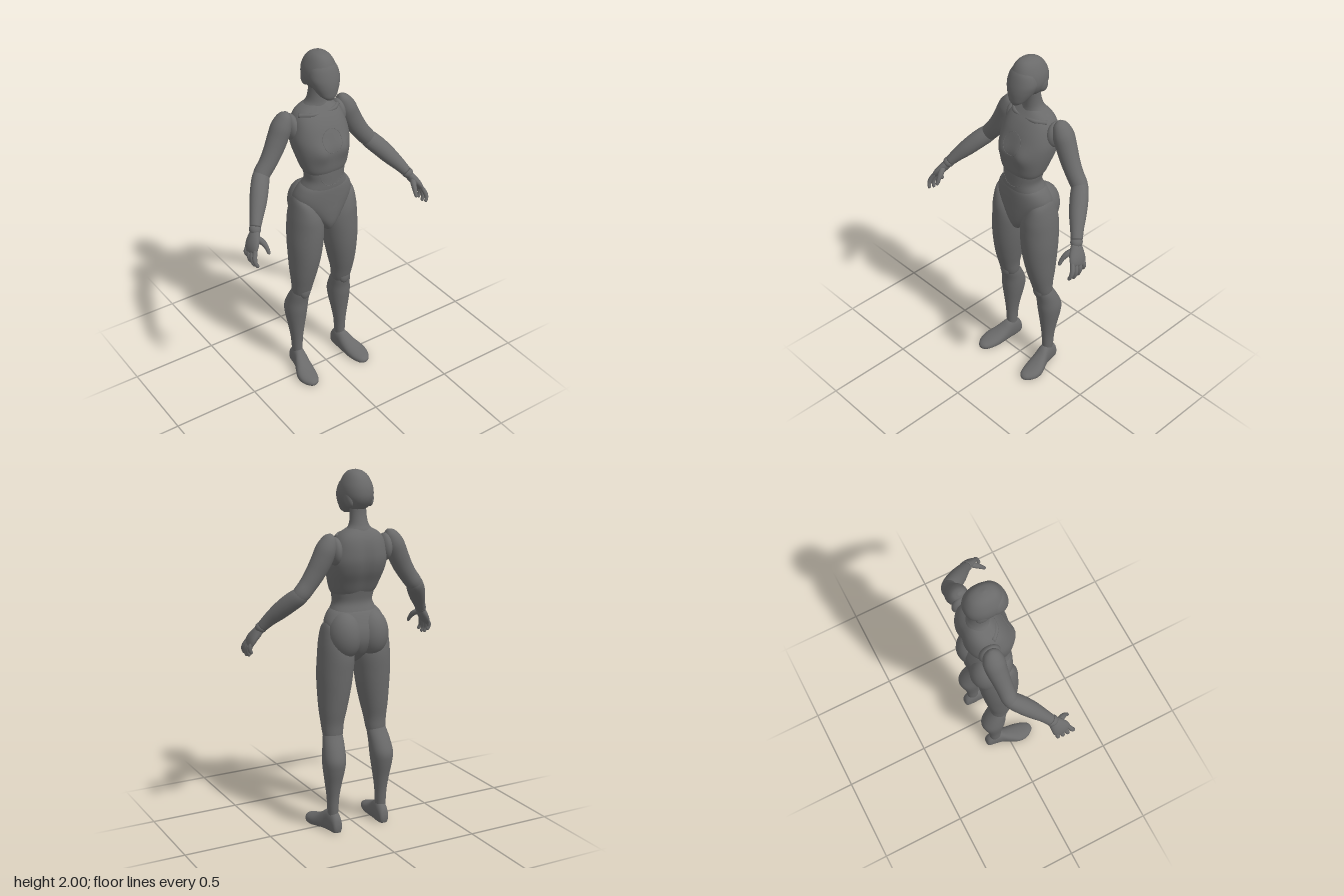
import * as THREE from 'three';

const material = new THREE.MeshStandardMaterial({ color: 0x6a6a6a });
const V = (x, y, z) => new THREE.Vector3(x, y, z);
const SIDES = 48;

// Resample rows of numbers with a smooth curve through them
function smoothRows(rows, steps = 5) {
  const out = [];
  const at = i => rows[Math.min(Math.max(i, 0), rows.length - 1)];
  for (let i = 0; i < rows.length - 1; i++) {
    for (let s = 0; s < steps; s++) {
      const t = s / steps;
      out.push(rows[i].map((b, k) => {
        const a = at(i - 1)[k], c = at(i + 1)[k], d = at(i + 2)[k];
        return b + 0.5 * t * (c - a + t * (2 * a - 5 * b + 4 * c - d + t * (3 * (b - c) + d - a)));
      }));
    }
  }
  out.push(rows[rows.length - 1]);
  return out;
}

// Close a stack of rings into a smooth solid whose faces point outward
function skin(rings) {
  const n = rings[0].length, pts = rings.flat(), idx = [];
  for (let r = 0; r < rings.length - 1; r++) {
    for (let i = 0; i < n; i++) {
      const a = r * n + i, b = r * n + (i + 1) % n;
      idx.push(a, b, a + n, b, b + n, a + n);
    }
  }
  for (const [r, flip] of [[0, true], [rings.length - 1, false]]) {
    const mid = V(0, 0, 0);
    rings[r].forEach(p => mid.addScaledVector(p, 1 / n));
    const c = pts.push(mid) - 1;
    for (let i = 0; i < n; i++) {
      const a = r * n + i, b = r * n + (i + 1) % n;
      idx.push(c, flip ? b : a, flip ? a : b);
    }
  }
  let volume = 0;
  for (let i = 0; i < idx.length; i += 3) {
    volume += pts[idx[i]].dot(V(0, 0, 0).crossVectors(pts[idx[i + 1]], pts[idx[i + 2]]));
  }
  if (volume < 0) idx.reverse();
  const g = new THREE.BufferGeometry().setFromPoints(pts);
  g.setIndex(idx);
  g.computeVertexNormals();
  return g;
}

// Rounded cross-sections, each row: [height, x0, x1, depth0, depth1]
function loft(rows, power = 2.2, place = (x, h, d) => V(x, h, d)) {
  const pw = v => Math.sign(v) * Math.abs(v) ** (2 / power);
  return skin(smoothRows(rows).map(([h, x0, x1, d0, d1]) =>
    Array.from({ length: SIDES }, (_, i) => {
      const a = i / SIDES * Math.PI * 2;
      return place((x0 + x1) / 2 + (x1 - x0) / 2 * pw(Math.cos(a)), h,
        (d0 + d1) / 2 + (d1 - d0) / 2 * pw(Math.sin(a)));
    })));
}
// Symmetric version, each row: [y, halfWidth, zFront, zBack]
const body = (rows, power) => loft(rows.map(([y, w, f, b]) => [y, -w, w, b, f]), power);

// Soft swelling or hollow on the front (side 1) or back (side -1)
function bulge(g, side, x, y, sx, sy, push) {
  const p = g.attributes.position;
  for (let i = 0; i < p.count; i++) {
    const z = p.getZ(i);
    if ((z + 0.06) * side <= 0) continue;
    const dx = (p.getX(i) - x) / sx, dy = (p.getY(i) - y) / sy;
    p.setZ(i, z + side * push * Math.exp(-(dx * dx + dy * dy) / 2));
  }
  g.computeVertexNormals();
}

// Limb along a path, each row: [x, y, z, thickness, width]; width lies towards z
function limb(rows, sides = 20) {
  const s = smoothRows(rows);
  return skin(s.map(([x, y, z, r, w], k) => {
    const p = s[Math.max(k - 1, 0)], q = s[Math.min(k + 1, s.length - 1)];
    const dir = V(q[0] - p[0], q[1] - p[1], q[2] - p[2]).normalize();
    const wide = V(0, 0, 1).addScaledVector(dir, -dir.z).normalize();
    const thin = V(0, 0, 0).crossVectors(dir, wide);
    return Array.from({ length: sides }, (_, i) => {
      const a = i / sides * Math.PI * 2;
      return V(x, y, z).addScaledVector(thin, r * Math.cos(a)).addScaledVector(wide, w * Math.sin(a));
    });
  }));
}

// Fine panel line laid on the front of a mesh through [x, y] points
function panelLine(mesh, points, closed = false) {
  const flat = new THREE.CatmullRomCurve3(points.map(([x, y]) => V(x, y, 1)), closed);
  const ray = new THREE.Raycaster();
  const laid = flat.getPoints(40).slice(0, closed ? -1 : undefined).map(p => {
    ray.set(p, V(0, 0, -1));
    return ray.intersectObject(mesh)[0].point;
  });
  return new THREE.TubeGeometry(new THREE.CatmullRomCurve3(laid, closed), 80, 0.0015, 6, closed);
}

function ellipsoid(x, y, z, rx, ry, rz, tilt = 0) {
  return new THREE.SphereGeometry(1, 32, 20).scale(rx, ry, rz).rotateX(tilt).translate(x, y, z);
}

function mirrored(g) {
  const m = g.clone().scale(-1, 1, 1);
  m.setIndex(Array.from(g.index.array).reverse());
  m.computeVertexNormals();
  return m;
}

export function createModel() {
  const model = new THREE.Group();
  const add = (name, g) => {
    const mesh = new THREE.Mesh(g, material);
    mesh.name = name;
    model.add(mesh);
    return mesh;
  };
  const pair = (name, g) => {
    add(name + 'Left', g);
    add(name + 'Right', mirrored(g));
  };

  // Head: skull, smooth face mask and swept ear panels
  add('skull', body([
    [2, 0.004, -0.055, -0.065], [1.99, 0.036, -0.012, -0.108], [1.965, 0.06, 0.016, -0.143],
    [1.92, 0.08, 0.037, -0.167], [1.875, 0.085, 0.045, -0.173], [1.84, 0.076, 0.03, -0.164],
    [1.81, 0.058, -0.01, -0.142], [1.795, 0.04, -0.04, -0.125]], 2.2));
  add('faceMask', body([
    [1.965, 0.03, 0.012, -0.06], [1.93, 0.07, 0.036, -0.09], [1.88, 0.085, 0.053, -0.1],
    [1.84, 0.077, 0.06, -0.085], [1.805, 0.06, 0.06, -0.05], [1.78, 0.042, 0.057, -0.012],
    [1.763, 0.018, 0.048, 0.016]], 2.1));
  pair('earPanel', ellipsoid(0.058, 1.865, -0.09, 0.025, 0.062, 0.04, 0.5));

  // Neck
  add('neck', body([
    [1.83, 0.045, -0.035, -0.128], [1.77, 0.045, -0.045, -0.132], [1.72, 0.052, -0.045, -0.145],
    [1.69, 0.072, -0.04, -0.158], [1.65, 0.105, -0.03, -0.17]], 2));

  // Rib cage with chest swellings and a spine hollow
  const ribs = body([
    [1.705, 0.05, -0.05, -0.145], [1.675, 0.105, -0.025, -0.17], [1.64, 0.135, 0.005, -0.188],
    [1.59, 0.152, 0.035, -0.199], [1.53, 0.163, 0.056, -0.2], [1.47, 0.158, 0.068, -0.182],
    [1.41, 0.145, 0.07, -0.148], [1.36, 0.13, 0.067, -0.121], [1.33, 0.112, 0.056, -0.1]], 2.4);
  for (const x of [-0.068, 0.068]) bulge(ribs, 1, x, 1.475, 0.038, 0.042, 0.02);
  bulge(ribs, -1, 0, 1.5, 0.02, 0.09, -0.012);
  const ribCage = add('ribCage', ribs);

  // Waist and pelvis
  const waist = add('waist', body([
    [1.4, 0.127, 0.06, -0.13], [1.34, 0.119, 0.063, -0.112], [1.29, 0.113, 0.064, -0.105],
    [1.24, 0.135, 0.065, -0.122], [1.18, 0.15, 0.06, -0.14]], 2.3));
  add('pelvis', body([
    [1.265, 0.115, 0.058, -0.1], [1.24, 0.146, 0.066, -0.125], [1.19, 0.172, 0.069, -0.152],
    [1.14, 0.168, 0.07, -0.168], [1.08, 0.125, 0.07, -0.165], [1.02, 0.07, 0.064, -0.135],
    [0.975, 0.03, 0.045, -0.09], [0.955, 0.012, 0.02, -0.06]], 2.2));
  pair('glute', ellipsoid(0.082, 1.118, -0.086, 0.094, 0.13, 0.102));

  // Collarbones
  pair('collarbone', limb([
    [0.022, 1.662, -0.022, 0.006, 0.006], [0.075, 1.662, -0.033, 0.012, 0.012],
    [0.122, 1.655, -0.075, 0.012, 0.012]]));

  // Panel lines: round inlay on the breastbone and the belly plate
  add('chestRing', panelLine(ribCage, Array.from({ length: 12 }, (_, i) =>
    [0.058 * Math.cos(i * Math.PI / 6), 1.53 + 0.062 * Math.sin(i * Math.PI / 6)]), true));
  add('bellyLine', panelLine(waist, [
    [-0.075, 1.33], [-0.06, 1.295], [-0.035, 1.272], [0, 1.266],
    [0.035, 1.272], [0.06, 1.295], [0.075, 1.33]]));

  // Arms
  pair('shoulderJoint', ellipsoid(0.15, 1.585, -0.11, 0.035, 0.075, 0.06));
  pair('upperArm', limb([
    [0.168, 1.676, -0.112, 0.008, 0.01], [0.179, 1.656, -0.112, 0.034, 0.04],
    [0.202, 1.605, -0.114, 0.054, 0.058], [0.228, 1.545, -0.112, 0.057, 0.056],
    [0.262, 1.48, -0.106, 0.054, 0.05], [0.302, 1.42, -0.1, 0.049, 0.046],
    [0.343, 1.37, -0.095, 0.047, 0.044], [0.372, 1.34, -0.075, 0.036, 0.036]]));
  pair('forearm', limb([
    [0.32, 1.39, -0.1, 0.03, 0.03], [0.347, 1.363, -0.094, 0.047, 0.043],
    [0.385, 1.322, -0.052, 0.05, 0.048], [0.425, 1.272, -0.004, 0.046, 0.045],
    [0.462, 1.225, 0.038, 0.037, 0.036], [0.492, 1.182, 0.07, 0.029, 0.031]]));

  // Hands: cuff, palm, four fingers and a thumb
  pair('wrist', ellipsoid(0.497, 1.175, 0.076, 0.031, 0.03, 0.034));
  pair('palm', limb([
    [0.493, 1.182, 0.07, 0.015, 0.022], [0.51, 1.152, 0.088, 0.024, 0.037],
    [0.535, 1.115, 0.107, 0.022, 0.05], [0.55, 1.085, 0.118, 0.015, 0.048],
    [0.554, 1.075, 0.122, 0.006, 0.035]]));
  const fingers = [
    ['indexFinger', 0.15, 0.183, 1.018], ['middleFinger', 0.127, 0.15, 1.008],
    ['ringFinger', 0.104, 0.117, 1.014], ['littleFinger', 0.082, 0.084, 1.035]];
  for (const [name, z0, z1, tip] of fingers) {
    const z = t => z0 + (z1 - z0) * t, y = t => 1.1 + (tip - 1.1) * t;
    pair(name, limb([
      [0.543, y(0), z(0), 0.011, 0.012], [0.558, y(0.4), z(0.45), 0.013, 0.013],
      [0.56, y(0.7), z(0.8), 0.011, 0.011], [0.551, y(0.95), z(0.98), 0.009, 0.009],
      [0.548, y(1), z(1), 0.003, 0.003]], 12));
  }
  pair('thumb', limb([
    [0.512, 1.15, 0.1, 0.014, 0.016], [0.494, 1.13, 0.14, 0.016, 0.016],
    [0.484, 1.105, 0.165, 0.012, 0.012], [0.482, 1.08, 0.182, 0.009, 0.009],
    [0.483, 1.074, 0.186, 0.003, 0.003]], 12));

  // Legs
  pair('thigh', loft([
    [1.195, 0.13, 0.168, -0.07, -0.02], [1.16, 0.095, 0.184, -0.11, 0.035],
    [1.08, 0.04, 0.2, -0.143, 0.064], [1, 0.014, 0.208, -0.153, 0.071],
    [0.9, 0.018, 0.213, -0.146, 0.071], [0.8, 0.032, 0.21, -0.135, 0.063],
    [0.7, 0.052, 0.205, -0.12, 0.045], [0.62, 0.07, 0.197, -0.105, 0.024],
    [0.55, 0.08, 0.19, -0.1, 0.002], [0.5, 0.098, 0.175, -0.085, -0.025]], 2.1));
  pair('shin', loft([
    [0.6, 0.1, 0.17, -0.085, -0.005], [0.55, 0.083, 0.192, -0.106, -0.002],
    [0.48, 0.083, 0.206, -0.142, -0.014], [0.42, 0.085, 0.213, -0.163, -0.018],
    [0.36, 0.092, 0.209, -0.156, -0.025], [0.28, 0.106, 0.197, -0.136, -0.034],
    [0.2, 0.118, 0.186, -0.121, -0.041], [0.13, 0.122, 0.182, -0.115, -0.044],
    [0.07, 0.125, 0.178, -0.11, -0.045]], 2.1));
  pair('kneeCap', ellipsoid(0.135, 0.585, -0.018, 0.04, 0.07, 0.027, -0.15));

  // Feet run along z with a flat sole
  pair('foot', loft([
    [-0.141, 0.135, 0.162, 0.02, 0.045], [-0.13, 0.121, 0.176, -0.012, 0.085],
    [-0.09, 0.115, 0.185, -0.02, 0.122], [-0.045, 0.116, 0.195, -0.02, 0.118],
    [0, 0.117, 0.215, -0.02, 0.087], [0.05, 0.12, 0.236, -0.02, 0.062],
    [0.1, 0.13, 0.234, -0.015, 0.045], [0.14, 0.148, 0.212, -0.008, 0.033],
    [0.156, 0.17, 0.192, 0.005, 0.02]], 2.2, (x, z, y) => V(x, Math.max(y, 0), z)));

  return model;
}
